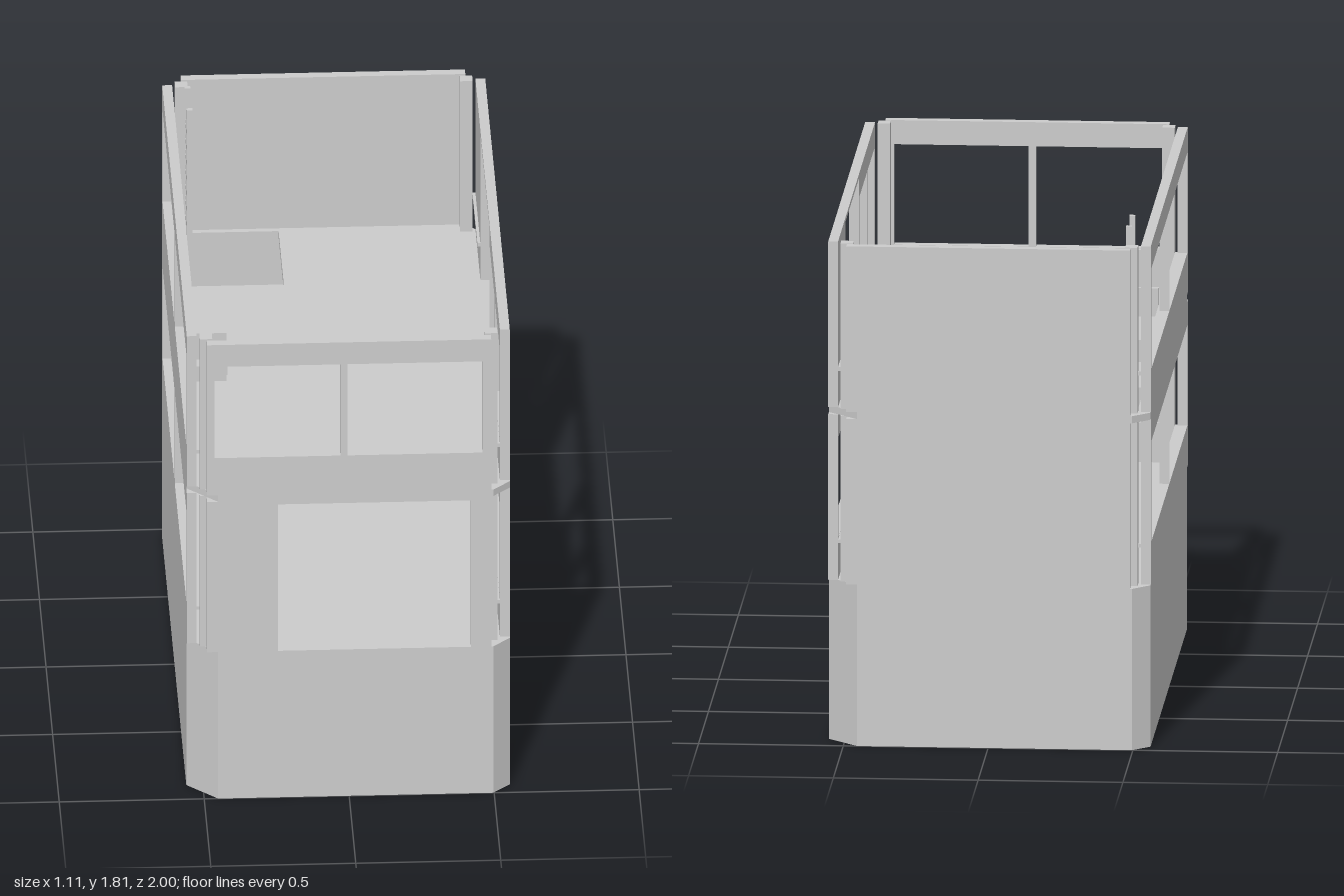
import * as THREE from 'three';

const X = 0.557, Z = 1, T = 0.034;      // half width, half length, wall thickness
const BASE = 0.57, DECK = 1.155, FLOOR = 1.18, TOP = 1.765;

export function createModel() {
  const model = new THREE.Group();
  model.name = 'twoStoreyCabin';
  const grey = new THREE.MeshStandardMaterial({ color: 0xcccccc });
  grey.name = 'light grey';

  const add = (name, geometry, parent = model) => {
    const mesh = new THREE.Mesh(geometry, grey);
    mesh.name = name;
    parent.add(mesh);
    return mesh;
  };
  // Box given by its limits on each axis
  const box = (name, x0, x1, y0, y1, z0, z1, parent) => {
    const mesh = add(name, new THREE.BoxGeometry(x1 - x0, y1 - y0, z1 - z0), parent);
    mesh.position.set((x0 + x1) / 2, (y0 + y1) / 2, (z0 + z1) / 2);
    return mesh;
  };
  const rectPath = ([a0, b0, a1, b1]) => new THREE.Path([
    new THREE.Vector2(a0, b0), new THREE.Vector2(a0, b1),
    new THREE.Vector2(a1, b1), new THREE.Vector2(a1, b0),
  ]);
  const extrude = (shape, depth) => new THREE.ExtrudeGeometry(shape, { depth, bevelEnabled: false });

  // Horizontal plate with unequal corner chamfers
  const plate = (name, y0, y1, hole) => {
    const s = 0.06, b = 0.105;
    const pts = [
      [-X + b, -Z], [X - s, -Z], [X, -Z + s], [X, Z - b],
      [X - b, Z], [-X + s, Z], [-X, Z - s], [-X, -Z + b],
    ].map(([x, y]) => new THREE.Vector2(x, y));
    const shape = new THREE.Shape(pts);
    if (hole) shape.holes.push(rectPath(hole));
    add(name, extrude(shape, y1 - y0).rotateX(-Math.PI / 2).translate(0, y0, 0));
  };
  plate('base', 0, BASE);
  plate('upperFloor', DECK, FLOOR, [-0.51, 0.55, -0.155, 0.945]); // ladder hatch

  // Wall panel: windows are holes, a notch is an opening down to the floor
  const panel = (half, y0, y1, windows = [], notch) => {
    const pts = [[-half, y0]];
    if (notch) pts.push([notch[0], y0], [notch[0], notch[2]], [notch[1], notch[2]], [notch[1], y0]);
    pts.push([half, y0], [half, y1], [-half, y1]);
    const shape = new THREE.Shape(pts.map(([u, v]) => new THREE.Vector2(u, v)));
    windows.forEach((w) => shape.holes.push(rectPath(w)));
    return extrude(shape, T);
  };
  const sideWall = (name, sign, ...args) => {
    const mesh = add(name, panel(0.93, ...args));
    mesh.rotation.y = -Math.PI / 2;
    mesh.position.x = sign > 0 ? X : -X + T;
  };
  const endWall = (name, sign, ...args) => {
    add(name, panel(0.49, ...args)).position.z = sign > 0 ? Z - T : -Z;
  };
  const pair = (y0, y1) => [[-0.905, y0, 0.0, y1], [0.02, y0, 0.905, y1]];

  // Lower storey
  sideWall('lowerLeftWall', 1, BASE, DECK, pair(0.715, 1.07));
  sideWall('lowerRightWall', -1, BASE, DECK, pair(0.715, 1.07));
  endWall('lowerFrontWall', 1, BASE, DECK, [], [-0.245, 0.42, 1.14]);
  endWall('lowerBackWall', -1, BASE, DECK);

  // Upper storey, with a wide side opening on the left
  sideWall('upperLeftWall', 1, FLOOR, TOP,
    [[0.145, 1.325, 0.525, 1.68], [0.546, 1.325, 0.905, 1.68]], [-0.55, 0.125, 1.75]);
  sideWall('upperRightWall', -1, FLOOR, TOP, pair(1.325, 1.68));
  endWall('upperFrontWall', 1, FLOOR, TOP,
    [[-0.465, 1.325, -0.03, 1.68], [-0.005, 1.325, 0.46, 1.68]]);
  endWall('upperBackWall', -1, FLOOR, TOP);

  // Corner posts standing just clear of the walls
  for (const [y0, y1] of [[BASE, DECK], [FLOOR, TOP]]) {
    for (const sx of [-1, 1]) {
      for (const sz of [-1, 1]) {
        box('cornerPost', sx * 0.4915 - 0.0215, sx * 0.4915 + 0.0215, y0, y1,
          sz * 0.934 - 0.021, sz * 0.934 + 0.021);
      }
    }
  }

  // Window ledges inside the walls
  const xi = X - T, xo = 0.513, zi = Z - T, zo = 0.955;
  const lowY = [0.7, 0.713], highY = [1.308, 1.322];
  for (const y of [lowY, highY]) box('rightLedge', -xi, -xo, ...y, -0.93, 0.93);
  box('leftLedge', xo, xi, ...lowY, -0.93, 0.93);
  box('leftLedge', xo, xi, ...highY, -0.93, -0.555);
  box('leftLedge', xo, xi, ...highY, 0.125, 0.93);
  box('frontLedge', -0.49, 0.49, ...highY, zo, zi);
  box('frontLedge', -0.49, -0.245, ...lowY, zo, zi);
  box('frontLedge', 0.42, 0.49, ...lowY, zo, zi);

  // Bench with an upright end board
  const bench = new THREE.Group();
  bench.name = 'bench';
  model.add(bench);
  box('benchBase', -0.51, -0.385, FLOOR, 1.237, -0.155, 0.155, bench);
  box('benchSeat', -0.51, -0.385, 1.237, 1.272, -0.22, 0.22, bench);
  box('benchEndBoard', -0.51, -0.385, 1.272, 1.372, 0.145, 0.165, bench);

  // Ladder through the hatch
  const ladder = new THREE.Group();
  ladder.name = 'ladder';
  model.add(ladder);
  for (const z of [-0.658, -0.822]) box('ladderRail', -0.485, -0.465, BASE, 1.812, z - 0.009, z + 0.009, ladder);
  for (let y = 0.615; y < 1.74; y += 0.0595) {
    box('ladderRung', -0.483, -0.467, y - 0.007, y + 0.007, -0.815, -0.665, ladder);
  }
  return model;
}
